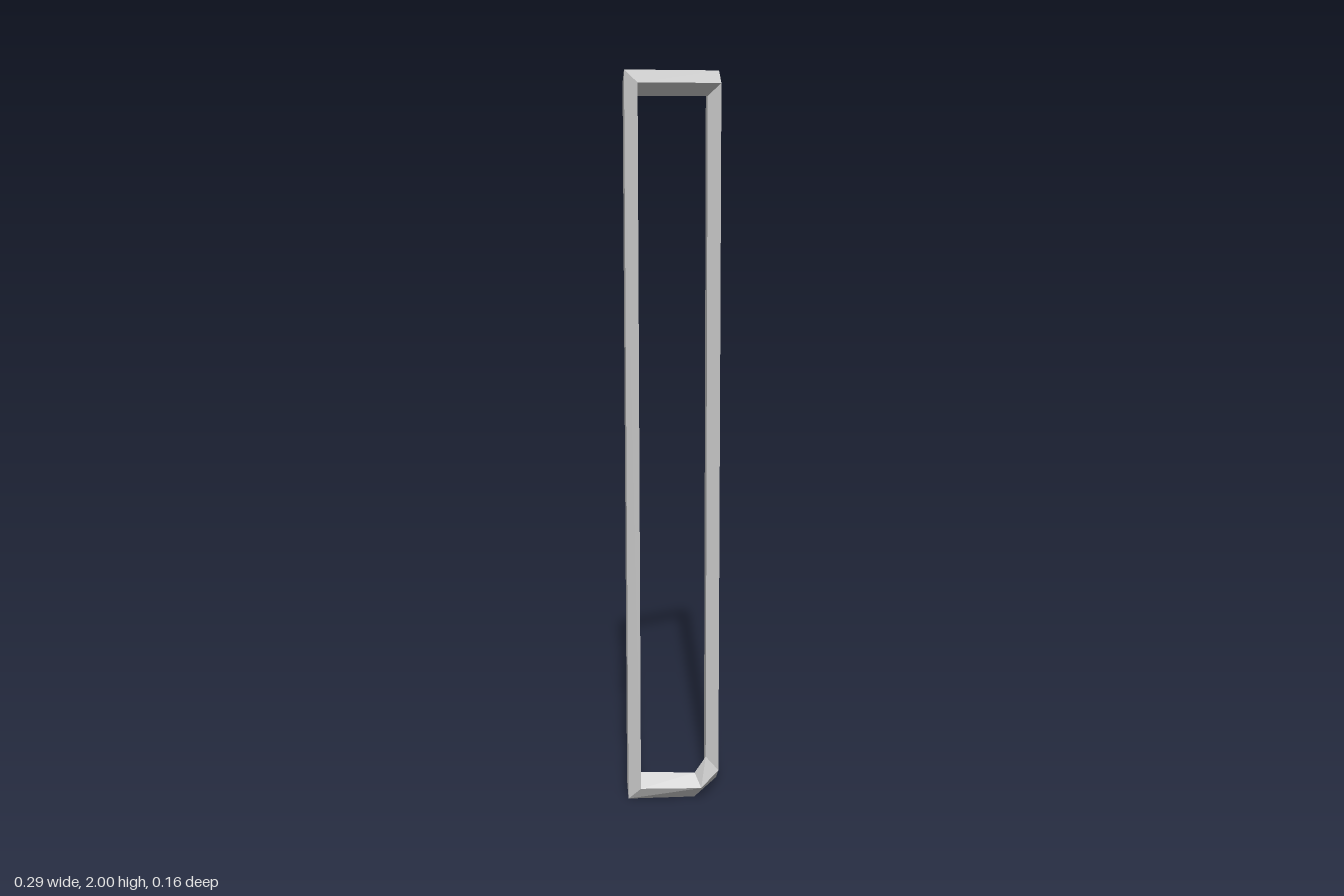
import * as THREE from 'three';

const material = new THREE.MeshStandardMaterial({ color: 0xcccccc, flatShading: true });

// Mitred diamond section at a corner: outer, front, inner and back points
function corner(side, z, yOuter, yMid, yInner) {
  return [
    [side * 0.147, yOuter, z],
    [side * 0.129, yMid, z + 0.036],
    [side * 0.11, yInner, z],
    [side * 0.129, yMid, z - 0.035],
  ];
}

// Four-sided bar spanning two sections
function bar(name, a, b) {
  const positions = [];
  for (let i = 0; i < 4; i++) {
    const j = (i + 1) % 4;
    positions.push(...a[i], ...b[i], ...b[j], ...a[i], ...b[j], ...a[j]);
  }
  const geometry = new THREE.BufferGeometry();
  geometry.setAttribute('position', new THREE.Float32BufferAttribute(positions, 3));
  geometry.computeVertexNormals();
  const mesh = new THREE.Mesh(geometry, material);
  mesh.name = name;
  return mesh;
}

export function createModel() {
  const group = new THREE.Group();
  group.name = 'bentFrame';

  const zRight = -0.048, zLeft = -0.035;
  const topRight = corner(-1, zRight, 2, 1.967, 1.933);
  const bottomRight = corner(-1, zRight, 0, 0.037, 0.071);
  const bottomLeft = corner(1, zLeft, 0, 0.037, 0.071);
  const topLeft = corner(1, zLeft, 2, 1.967, 1.933);

  // Forward bend in the middle of the bottom rail
  const bend = [
    [0.013, 0, 0.045],
    [0.012, 0.037, 0.08],
    [0.014, 0.071, 0.045],
    [0.015, 0.037, 0.01],
  ];

  // Closed loop of bars
  const sections = [topRight, bottomRight, bend, bottomLeft, topLeft];
  const names = ['rightPost', 'bottomRailRight', 'bottomRailLeft', 'leftPost', 'topRail'];
  names.forEach((name, i) => {
    group.add(bar(name, sections[i], sections[(i + 1) % sections.length]));
  });
  return group;
}
